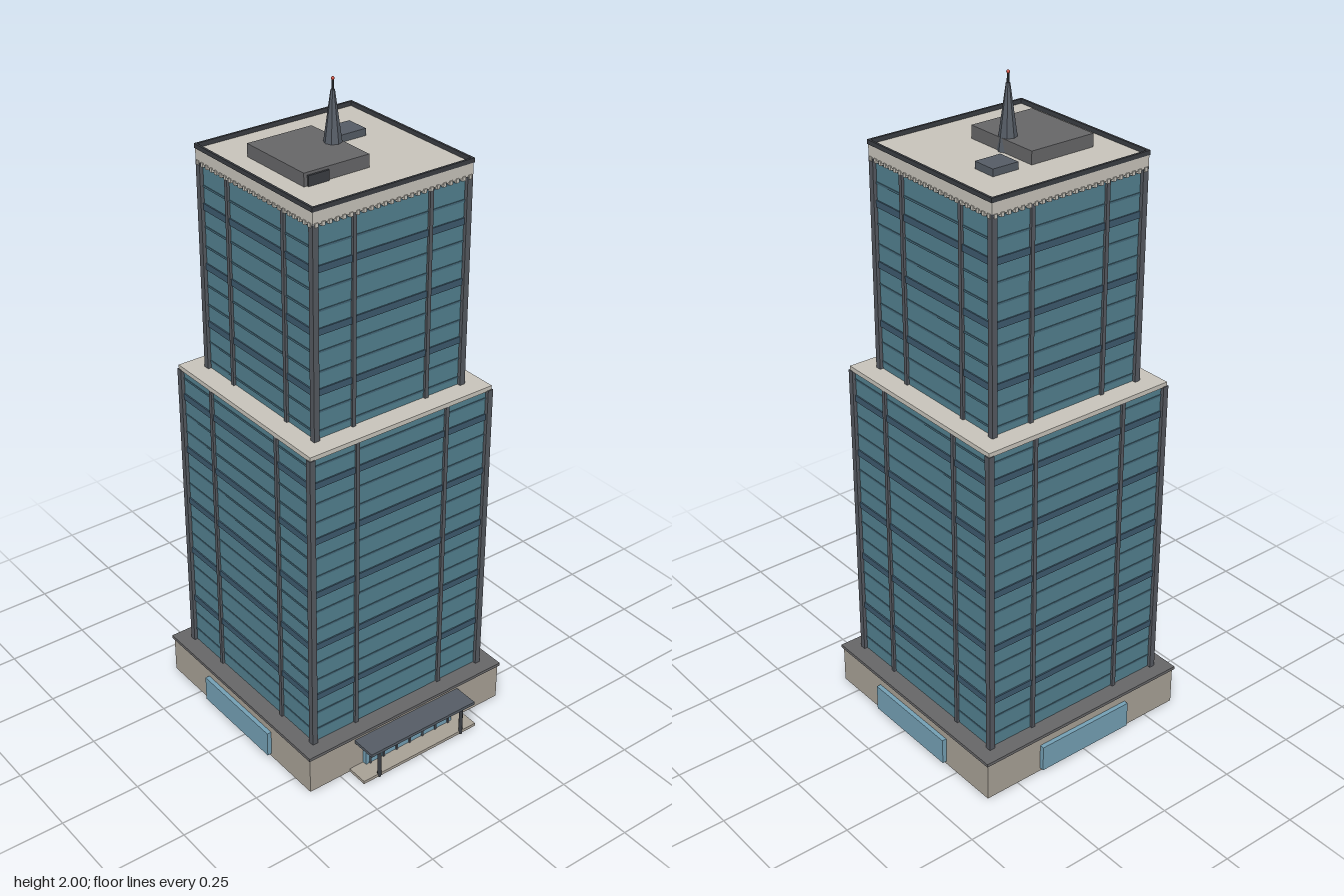
import * as THREE from 'three';

const mat = (color) => new THREE.MeshStandardMaterial({ color });
const M = {
  glass: mat(0x52808f), band: mat(0x3d5a6e), line: mat(0x44697a), frame: mat(0x555960),
  cream: mat(0xc8c4bb), stone: mat(0xa8a196), plate: mat(0x666668),
  metal: mat(0x555c65), lobby: mat(0x74a0b5), dark: mat(0x3a3d42), red: mat(0xc04030),
};

// Box given by its minimum and maximum along each axis
function box(parent, name, material, [x0, x1], [y0, y1], [z0, z1]) {
  const mesh = new THREE.Mesh(new THREE.BoxGeometry(x1 - x0, y1 - y0, z1 - z0), material);
  mesh.position.set((x0 + x1) / 2, (y0 + y1) / 2, (z0 + z1) / 2);
  mesh.name = name;
  parent.add(mesh);
  return mesh;
}

// Square slab centred on its parent
const slab = (parent, name, material, half, y0, y1) =>
  box(parent, name, material, [-half, half], [y0, y1], [-half, half]);

// Square ring, used for parapets and rims
function ring(parent, name, material, outer, inner, y0, y1) {
  const square = (C, h) => {
    const s = new C();
    s.moveTo(-h, -h); s.lineTo(h, -h); s.lineTo(h, h); s.lineTo(-h, h); s.closePath();
    return s;
  };
  const shape = square(THREE.Shape, outer);
  shape.holes.push(square(THREE.Path, inner));
  const geo = new THREE.ExtrudeGeometry(shape, { depth: y1 - y0, bevelEnabled: false });
  geo.rotateX(-Math.PI / 2).translate(0, y0, 0);
  const mesh = new THREE.Mesh(geo, material);
  mesh.name = name;
  parent.add(mesh);
}

// Calls build with one turned group for each of the four sides
function fourSides(parent, name, build) {
  for (let i = 0; i < 4; i++) {
    const side = new THREE.Group();
    side.name = name;
    side.rotation.y = i * Math.PI / 2;
    build(side);
    parent.add(side);
  }
}

// Glazed shaft with floor lines, spandrel bands, mullions and corner posts
function shaft(name, half, y0, y1, firstFloor, bandOffset, mullionX) {
  const g = new THREE.Group();
  g.name = name;
  slab(g, 'glazing', M.glass, half - 0.008, y0, y1);
  for (let k = 0; firstFloor + k * 0.06 < y1 - 0.005; k++) {
    const y = firstFloor + k * 0.06;
    const thick = k % 3 === bandOffset;
    const h = thick ? 0.01 : 0.003;
    slab(g, thick ? 'spandrelBand' : 'floorLine', thick ? M.band : M.line,
      half - (thick ? 0.004 : 0.006), y - h, y + h);
  }
  fourSides(g, 'facadeFrame', (side) => {
    for (const x of [-mullionX, mullionX])
      box(side, 'mullion', M.frame, [x - 0.006, x + 0.006], [y0, y1], [half - 0.01, half]);
    const o = half + 0.003;
    box(side, 'cornerPost', M.frame, [o - 0.018, o], [y0, y1], [o - 0.018, o]);
  });
  return g;
}

export function createModel() {
  const model = new THREE.Group();
  model.name = 'tower';
  const body = new THREE.Group();
  body.name = 'building';
  body.position.z = -0.035;
  model.add(body);

  // Podium with its ledge
  slab(body, 'podium', M.stone, 0.36, 0, 0.12);
  slab(body, 'podiumLedge', M.plate, 0.365, 0.12, 0.13);
  fourSides(body, 'podiumWindow', (side) =>
    box(side, 'lobbyGlass', M.lobby, [-0.165, 0.165], [0.01, 0.093], [0.35, 0.374]));

  // Two stacked shafts and the setback slab
  body.add(shaft('lowerShaft', 0.318, 0.13, 1.1, 0.172, 2, 0.157));
  slab(body, 'setbackSlab', M.cream, 0.318, 1.098, 1.112);
  body.add(shaft('upperShaft', 0.261, 1.112, 1.75, 1.135, 2, 0.127));

  // Crown: roof slab, dentils and dark rim
  slab(body, 'roofSlab', M.cream, 0.264, 1.745, 1.782);
  ring(body, 'roofRim', M.dark, 0.266, 0.259, 1.782, 1.795);
  fourSides(body, 'dentilRow', (side) => {
    for (let i = 0; i < 24; i++) {
      const x = -0.253 + i * 0.022;
      box(side, 'dentil', M.cream, [x - 0.005, x + 0.005], [1.738, 1.75], [0.255, 0.267]);
    }
  });

  // Entrance: step, canopy, posts and door frames
  const entrance = new THREE.Group();
  entrance.name = 'entrance';
  model.add(entrance);
  box(entrance, 'step', M.stone, [-0.215, 0.215], [0, 0.01], [0.32, 0.394]);
  box(entrance, 'canopy', M.metal, [-0.197, 0.197], [0.1, 0.11], [0.32, 0.406]);
  for (const s of [-1, 1]) {
    const post = new THREE.Mesh(new THREE.CylinderGeometry(0.006, 0.006, 0.1, 8), M.dark);
    post.name = 'canopyPost';
    post.position.set(s * 0.157, 0.05, 0.392);
    entrance.add(post);
  }
  for (let i = 0; i < 7; i++) {
    const x = -0.15 + i * 0.05;
    box(entrance, 'doorMullion', M.metal, [x - 0.003, x + 0.003], [0.01, 0.095], [0.335, 0.343]);
  }

  // Roof equipment
  const roof = new THREE.Group();
  roof.name = 'roofEquipment';
  model.add(roof);
  box(roof, 'plantRoom', M.plate, [-0.188, 0.024], [1.78, 1.82], [-0.163, 0.09]);
  box(roof, 'plantDoor', M.dark, [-0.177, -0.11], [1.782, 1.812], [0.088, 0.096]);
  box(roof, 'ventUnit', M.metal, [0.07, 0.154], [1.78, 1.803], [-0.165, -0.091]);

  // Spire with needle and beacon
  const spire = [
    ['spireCone', M.metal, 0.006, 0.031, 1.782, 1.965],
    ['spireNeedle', M.dark, 0.003, 0.004, 1.96, 1.992],
  ];
  for (const [name, material, r1, r0, y0, y1] of spire) {
    const mesh = new THREE.Mesh(new THREE.CylinderGeometry(r1, r0, y1 - y0, 8), material);
    mesh.material = material.clone();
    mesh.material.flatShading = true;
    mesh.name = name;
    mesh.position.set(0, (y0 + y1) / 2, -0.036);
    roof.add(mesh);
  }
  const beacon = new THREE.Mesh(new THREE.SphereGeometry(0.005, 8, 6), M.red);
  beacon.name = 'beacon';
  beacon.position.set(0, 1.995, -0.036);
  roof.add(beacon);

  return model;
}
